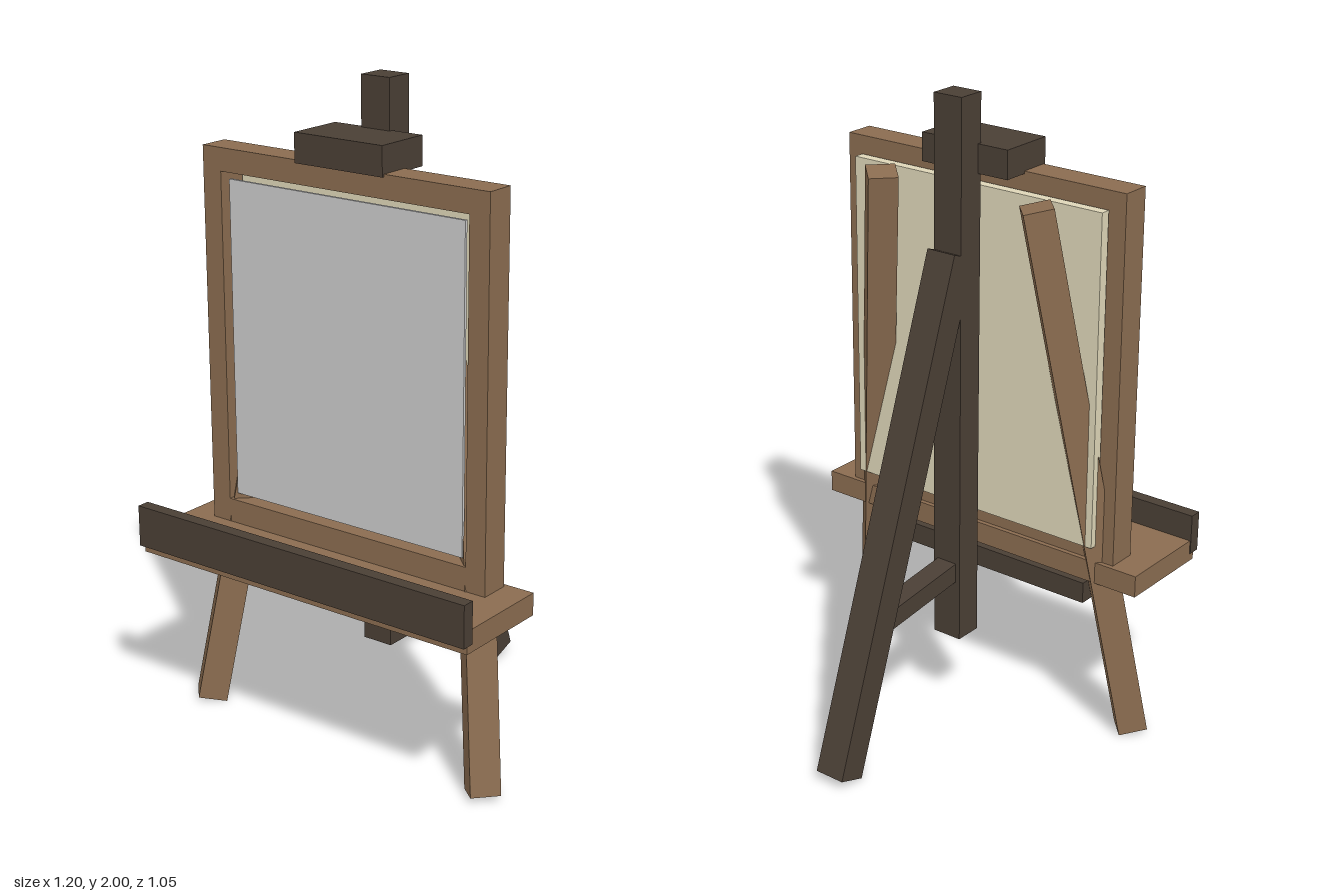
import * as THREE from 'three';

const paint = (color) => new THREE.MeshStandardMaterial({ color });

export function createModel() {
  const easel = new THREE.Group();
  easel.name = 'easel';
  const lightWood = paint(0x8a6c50);
  const darkWood = paint(0x4a3f35);
  const linen = paint(0xded6b8);
  const grey = paint(0xcccccc);

  const add = (name, geometry, material) => {
    const mesh = new THREE.Mesh(geometry, material);
    mesh.name = name;
    easel.add(mesh);
    return mesh;
  };

  // Upright box given by its extents, symmetric in x
  const block = (name, halfX, y0, y1, z0, z1, material) =>
    add(name, new THREE.BoxGeometry(2 * halfX, y1 - y0, z1 - z0), material)
      .position.set(0, (y0 + y1) / 2, (z0 + z1) / 2);

  // Square-cut beam from a to b; its sides line up with the direction of lean
  const beam = (name, a, b, width, depth, material) => {
    const from = new THREE.Vector3(...a), to = new THREE.Vector3(...b);
    const mesh = add(name, new THREE.BoxGeometry(width, depth, from.distanceTo(to)), material);
    mesh.position.copy(from).add(to).multiplyScalar(0.5);
    mesh.lookAt(to);
  };

  // Mast and top clamp
  block('mast', 0.05, 0.27, 2, 0.04, 0.13, darkWood);
  block('topClamp', 0.155, 1.762, 1.85, 0.117, 0.3, darkWood);

  // Picture frame with open centre
  const rect = (path, x, y0, y1) => path.moveTo(-x, y0).lineTo(x, y0).lineTo(x, y1).lineTo(-x, y1).closePath();
  const outline = new THREE.Shape();
  rect(outline, 0.507, 0.609, 1.77);
  const opening = new THREE.Path();
  rect(opening, 0.44, 0.685, 1.7);
  outline.holes.push(opening);
  add('pictureFrame', new THREE.ExtrudeGeometry(outline, { depth: 0.094, bevelEnabled: false }), lightWood)
    .position.z = 0.199;

  // Canvas board behind the frame, with the picture panel set just inside its front
  block('canvas', 0.452, 0.667, 1.713, 0.162, 0.194, linen);
  block('picturePanel', 0.419, 0.704, 1.678, 0.272, 0.281, grey);

  // Tray with front lip
  block('tray', 0.598, 0.542, 0.611, 0.184, 0.507, lightWood);
  block('trayLip', 0.601, 0.567, 0.696, 0.486, 0.526, darkWood);

  // Splayed front legs joined by a crossbar
  for (const [side, s] of [['left', 1], ['right', -1]]) {
    beam(side + 'FrontLeg', [s * 0.522, 0.009, 0.312], [s * 0.283, 1.715, 0.085], 0.09, 0.09, lightWood);
  }
  block('crossbar', 0.388, 0.437, 0.505, 0.22, 0.28, darkWood);

  // Rear prop leg and the brace tying it to the mast
  beam('rearLeg', [0, 0.018, -0.481], [0, 1.528, 0.055], 0.1, 0.095, darkWood);
  beam('rearBrace', [0, 0.501, 0.06], [0, 0.46, -0.3], 0.07, 0.062, darkWood);

  return easel;
}
